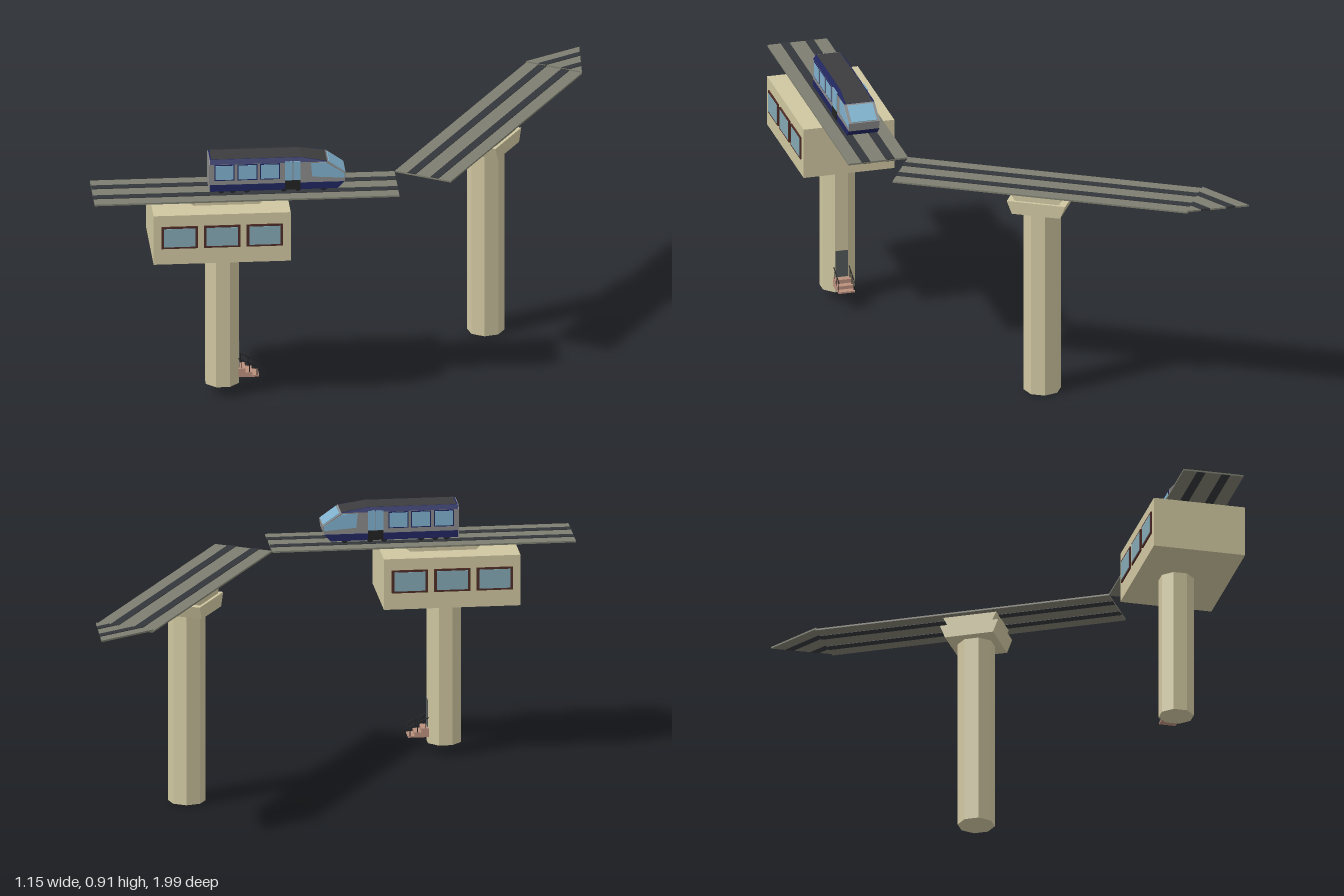
import * as THREE from 'three';
import { ConvexGeometry } from 'three/addons/geometries/ConvexGeometry.js';

const mat = (color) => new THREE.MeshStandardMaterial({ color, flatShading: true });
const concrete = mat(0xcfc6a0), deckGrey = mat(0x7d7e70), railDark = mat(0x33363a);
const glass = mat(0x7fb0cc), paneGrey = mat(0x84a8b4), frameBrown = mat(0x4f2c26);
const navy = mat(0x20265f), bodyGrey = mat(0x8a8a8a), roofDark = mat(0x3c3c3e);
const black = mat(0x222222), stairPink = mat(0xb98f7c), doorGrey = mat(0x55595a);

function add(parent, name, geometry, material, x = 0, y = 0, z = 0) {
  const mesh = new THREE.Mesh(geometry, material);
  mesh.name = name;
  mesh.position.set(x, y, z);
  parent.add(mesh);
  return mesh;
}

function box(parent, name, material, w, h, d, x, y, z) {
  return add(parent, name, new THREE.BoxGeometry(w, h, d), material, x, y, z);
}

const shapeOf = (pts) => new THREE.Shape(pts.map(([a, b]) => new THREE.Vector2(a, b)));

// Side profile (x, y) extruded across z, centred
function profile(parent, name, material, pts, width, z = 0) {
  const g = new THREE.ExtrudeGeometry(shapeOf(pts), { depth: width, bevelEnabled: false });
  return add(parent, name, g.translate(0, 0, -width / 2), material, 0, 0, z);
}

// Plan outline (x, z) extruded between two heights
function slab(parent, name, material, pts, y0, y1) {
  const g = new THREE.ExtrudeGeometry(shapeOf(pts), { depth: y1 - y0, bevelEnabled: false });
  return add(parent, name, g.rotateX(Math.PI / 2), material, 0, y1, 0);
}

// Bar between two points
function bar(parent, name, a, b, r) {
  const p = new THREE.Vector3(...a), q = new THREE.Vector3(...b);
  const m = add(parent, name, new THREE.CylinderGeometry(r, r, p.distanceTo(q), 5), black);
  m.position.copy(p).add(q).multiplyScalar(0.5);
  m.quaternion.setFromUnitVectors(new THREE.Vector3(0, 1, 0), q.sub(p).normalize());
}

// Eight-sided pillar with flat faces to the front and sides
function pillar(parent, apothem, y0, y1, x, z) {
  const r = apothem / Math.cos(Math.PI / 8);
  const g = new THREE.CylinderGeometry(r, r, y1 - y0, 8).rotateY(Math.PI / 8);
  add(parent, 'pillar', g, concrete, x, (y0 + y1) / 2, z);
}

// Bearing block whose ends flare upward along x
function flaredCap(parent, name, bottom, top, y0, y1, width, x) {
  const m = profile(parent, name, concrete,
    [[-bottom / 2, y0], [bottom / 2, y0], [top / 2, y1], [-top / 2, y1]], width);
  m.position.x = x;
}

function buildTrain() {
  const train = new THREE.Group();
  train.name = 'train';
  const roofY = 0.914, eave = 0.897;
  profile(train, 'skirt', navy, [[0, 0.795], [0.45, 0.795], [0.474, 0.82], [0, 0.82]], 0.112);
  profile(train, 'body', bodyGrey,
    [[0, 0.82], [0.474, 0.82], [0.478, 0.85], [0.412, eave], [0, eave]], 0.11);
  // Roof edge and the darker roof on top
  const roof = (top, low, y, drop, x0) => new ConvexGeometry([-1, 1].flatMap((s) => [
    [x0, drop, s * low], [0.412, drop, s * low], [x0, y, s * top], [0.32, y, s * top],
  ].map((p) => new THREE.Vector3(...p))));
  add(train, 'roofEdge', roof(0.045, 0.055, roofY - 0.002, eave, 0), navy);
  add(train, 'roof', roof(0.042, 0.048, roofY, eave + 0.001, 0.005), roofDark);
  // Grey rear wall
  add(train, 'rearWall', new ConvexGeometry([-1, 1].flatMap((s) => [-0.003, 0.001].flatMap((x) => [
    [x, 0.795, s * 0.055], [x, eave, s * 0.055], [x, roofY - 0.003, s * 0.044],
  ].map((p) => new THREE.Vector3(...p))))), bodyGrey);
  // Windscreen lying on the sloping nose
  const screen = box(train, 'windscreen', glass, 0.07, 0.004, 0.092, 0.447, 0.8735, 0);
  screen.rotation.z = Math.atan2(0.85 - eave, 0.066);
  // Side windows, doors and cab windows
  for (const s of [-1, 1]) {
    const z = s * 0.0555;
    for (const x of [0.05, 0.131, 0.211]) {
      box(train, 'windowFrame', navy, 0.07, 0.06, 0.002, x, 0.866, z);
      box(train, 'sideWindow', glass, 0.063, 0.053, 0.004, x, 0.866, z);
    }
    for (const x of [0.277, 0.306]) {
      box(train, 'doorWindow', glass, 0.026, 0.071, 0.004, x, 0.866, z);
    }
    box(train, 'doorStep', black, 0.055, 0.034, 0.006, 0.291, 0.813, z);
    profile(train, 'cabWindow', glass,
      [[0.36, 0.842], [0.473, 0.834], [0.474, 0.85], [0.408, 0.893], [0.355, 0.893]], 0.003, z);
  }
  // Wheels
  for (const x of [0.04, 0.08, 0.13, 0.26, 0.31, 0.4]) for (const s of [-1, 1]) {
    add(train, 'wheel', new THREE.CylinderGeometry(0.012, 0.012, 0.014, 10).rotateX(Math.PI / 2),
      black, x, 0.797, s * 0.043);
  }
  return train;
}

function buildStation() {
  const g = new THREE.Group();
  g.name = 'station';
  g.position.set(-0.06, 0, 0.628);
  g.rotation.y = Math.PI / 6;
  // Track
  box(g, 'trackDeck', deckGrey, 1.073, 0.006, 0.217, 0, 0.779, 0);
  for (const s of [-1, 1]) {
    box(g, 'rail', railDark, 1.073, 0.009, 0.031, 0, 0.7795, s * 0.0445);
  }
  flaredCap(g, 'bearingBlock', 0.23, 0.283, 0.754, 0.777, 0.164, -0.07);
  // Cabin with three windows on both long sides
  const cx = -0.092;
  box(g, 'cabin', concrete, 0.483, 0.185, 0.33, cx, 0.6625, 0);
  for (const s of [-1, 1]) for (const x of [-0.15, 0, 0.15]) {
    box(g, 'windowFrame', frameBrown, 0.128, 0.083, 0.008, cx + x, 0.672, s * 0.166);
    box(g, 'windowPane', paneGrey, 0.11, 0.069, 0.011, cx + x, 0.672, s * 0.166);
  }
  // Pillar with door and stairs
  const px = -0.079, pz = -0.02;
  pillar(g, 0.058, 0.04, 0.571, px, pz);
  box(g, 'door', doorGrey, 0.004, 0.1, 0.044, px + 0.058, 0.148, pz);
  const sx = px + 0.056;
  profile(g, 'stairs', stairPink, [[0, 0.064], [0.073, 0.064], [0.073, 0.07], [0.05, 0.07],
    [0.05, 0.082], [0.026, 0.082], [0.026, 0.096], [0, 0.096]], 0.06, pz).position.x = sx;
  for (const s of [-1, 1]) {
    const z = pz + s * 0.028;
    bar(g, 'handrail', [sx, 0.135, z], [sx + 0.07, 0.102, z], 0.002);
    for (const t of [0.012, 0.039, 0.066]) {
      bar(g, 'railPost', [sx + t, 0.07, z], [sx + t, 0.135 - t * 0.47, z], 0.0015);
    }
  }
  const train = buildTrain();
  train.position.x = -0.126;
  g.add(train);
  return g;
}

function buildStraightTrack() {
  const g = new THREE.Group();
  g.name = 'straightTrack';
  // Track
  box(g, 'trackDeck', deckGrey, 0.217, 0.006, 1.07, 0.4605, 0.781, -0.27);
  for (const x of [0.416, 0.505]) box(g, 'rail', railDark, 0.031, 0.009, 1.07, x, 0.7815, -0.27);
  // Pointed end piece where the rails turn off
  slab(g, 'trackTip', deckGrey, [[0.352, -0.803], [0.569, -0.803], [0.465, -1]], 0.783, 0.789);
  slab(g, 'tipRail', railDark,
    [[0.4, -0.803], [0.431, -0.803], [0.503, -0.929], [0.488, -0.957]], 0.782, 0.791);
  slab(g, 'tipRail', railDark,
    [[0.489, -0.803], [0.521, -0.803], [0.546, -0.848], [0.531, -0.877]], 0.782, 0.791);
  // Pillar and two-step head
  pillar(g, 0.061, 0, 0.7, 0.459, -0.249);
  const head = new THREE.Group();
  head.name = 'pillarHead';
  head.position.set(0.456, 0, -0.249);
  head.rotation.y = Math.PI / 2;
  flaredCap(head, 'lowerHead', 0.175, 0.212, 0.697, 0.744, 0.182, 0);
  flaredCap(head, 'upperHead', 0.16, 0.195, 0.744, 0.779, 0.162, 0);
  g.add(head);
  return g;
}

export function createModel() {
  const model = new THREE.Group();
  model.name = 'elevatedRailway';
  model.add(buildStation(), buildStraightTrack());
  return model;
}
